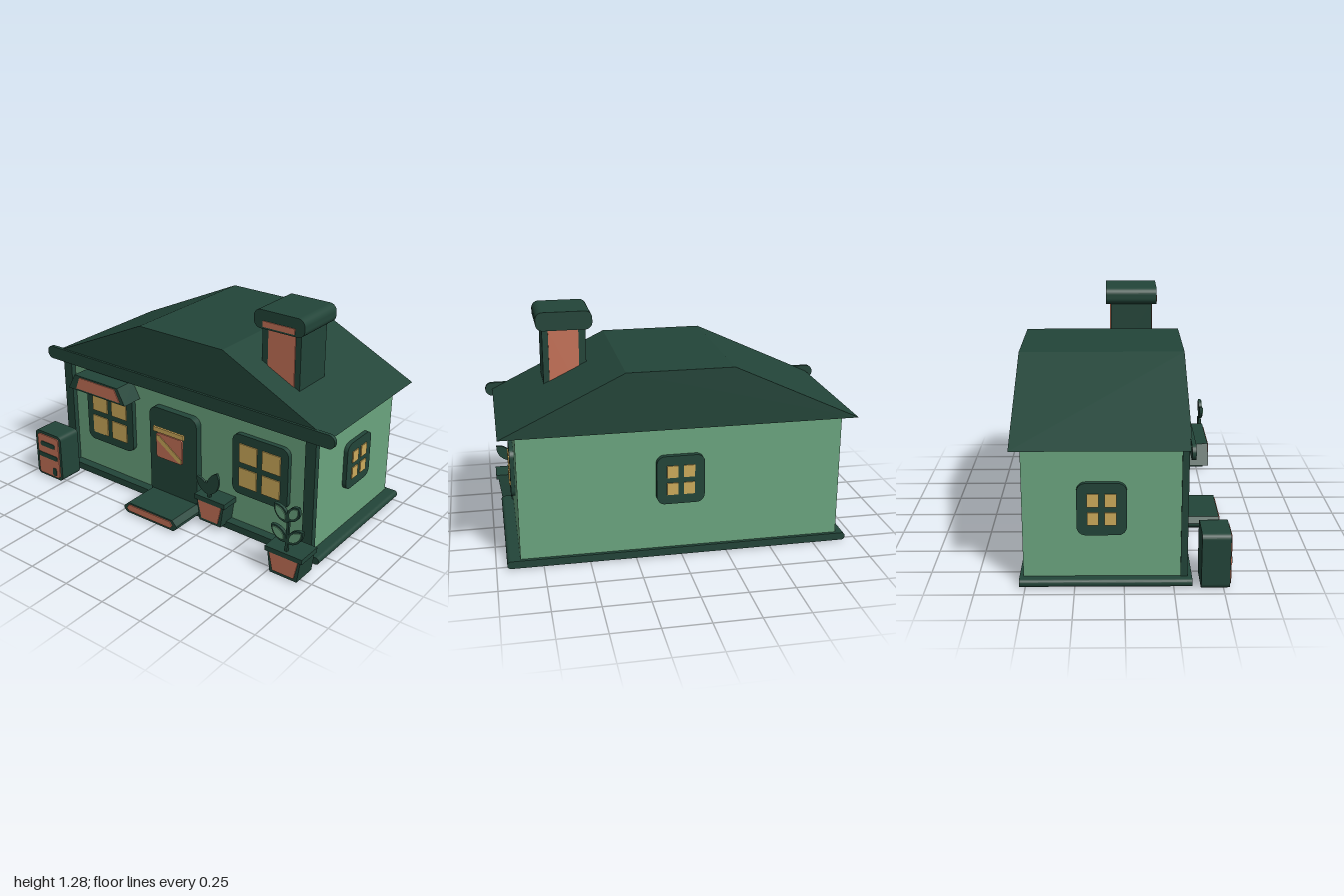
import * as THREE from 'three';

const mat = (name, color) => {
  const m = new THREE.MeshStandardMaterial({ color });
  m.name = name;
  return m;
};

// Rounded rectangle outline
function rrect(x0, y0, x1, y1, r) {
  const s = new THREE.Shape();
  s.moveTo(x0 + r, y0);
  s.lineTo(x1 - r, y0);
  s.absarc(x1 - r, y0 + r, r, -Math.PI / 2, 0);
  s.lineTo(x1, y1 - r);
  s.absarc(x1 - r, y1 - r, r, 0, Math.PI / 2);
  s.lineTo(x0 + r, y1);
  s.absarc(x0 + r, y1 - r, r, Math.PI / 2, Math.PI);
  s.lineTo(x0, y0 + r);
  s.absarc(x0 + r, y0 + r, r, Math.PI, Math.PI * 1.5);
  return s;
}
const poly = (...pts) => new THREE.Shape(pts.map(([x, y]) => new THREE.Vector2(x, y)));

// Leaf outline from a base point to a tip
function leafShape([x0, y0], [x1, y1], w) {
  const dx = x1 - x0, dy = y1 - y0, l = Math.hypot(dx, dy);
  const nx = -dy / l * w, ny = dx / l * w;
  const s = new THREE.Shape();
  s.moveTo(x0, y0);
  s.bezierCurveTo(x0 + dx * 0.2 - nx, y0 + dy * 0.2 - ny, x0 + dx * 0.75 - nx, y0 + dy * 0.75 - ny, x1, y1);
  s.bezierCurveTo(x0 + dx * 0.75 + nx, y0 + dy * 0.75 + ny, x0 + dx * 0.2 + nx, y0 + dy * 0.2 + ny, x0, y0);
  return s;
}

export function createModel() {
  const dark = mat('dark green', 0x234539);
  const wall = mat('light green', 0x6ca680);
  const clay = mat('terracotta', 0xc77359);
  const gold = mat('window yellow', 0xcfac5c);
  const house = new THREE.Group();
  house.name = 'house';

  // Extrude a front outline between two depths
  function slab(name, shape, z0, z1, material, parent = house) {
    const geo = new THREE.ExtrudeGeometry(shape, { depth: z1 - z0, bevelEnabled: false, curveSegments: 8 });
    geo.translate(0, 0, z0);
    const mesh = new THREE.Mesh(geo, material);
    mesh.name = name;
    parent.add(mesh);
    return mesh;
  }
  const box = (name, x0, y0, x1, y1, z0, z1, material, parent) =>
    slab(name, poly([x0, y0], [x1, y0], [x1, y1], [x0, y1]), z0, z1, material, parent);
  function group(name) {
    const g = new THREE.Group();
    g.name = name;
    house.add(g);
    return g;
  }

  // Walls, plinth and corner posts
  box('walls', -0.885, 0, 0.872, 0.745, -0.51, 0.29, wall);
  slab('plinth', rrect(-0.937, 0.003, 0.943, 0.045, 0.02), -0.53, 0.343, dark);
  for (const x of [-0.893, 0.82]) box('cornerPost', x, 0.03, x + 0.062, 0.73, 0.285, 0.32, dark);

  // Roof and front eave rail
  slab('roof', poly([-0.96, 0.74], [0.96, 0.74], [0.3, 1.06], [-0.27, 1.06]), -0.56, 0.33, dark);
  slab('eaveRail', rrect(-1, 0.7, 1, 0.777, 0.038), 0.322, 0.343, dark);

  // Chimney with inlaid front and back panels
  const chimney = group('chimney');
  box('chimneyStack', 0.445, 0.8, 0.683, 1.19, -0.066, 0.178, dark, chimney);
  box('frontPanel', 0.485, 0.82, 0.65, 1.178, 0.178, 0.183, clay, chimney);
  box('backPanel', 0.485, 0.82, 0.65, 1.178, -0.072, -0.066, clay, chimney);
  slab('chimneyCap', rrect(0.41, 1.178, 0.718, 1.28, 0.04), -0.097, 0.207, dark, chimney);
  box('capStripe', 0.467, 1.19, 0.662, 1.222, 0.207, 0.212, clay, chimney);

  // Windows: w and h outside, pane size p, gap g between panes
  function window4(name, w, h, p, q, g, r) {
    const win = group(name);
    slab('windowFrame', rrect(-w / 2, -h / 2, w / 2, h / 2, r), 0, 0.028, dark, win);
    for (const sx of [-1, 1]) for (const sy of [-1, 1]) {
      const cx = sx * (p + g) / 2, cy = sy * (q + g) / 2;
      box('windowPane', cx - p / 2, cy - q / 2, cx + p / 2, cy + q / 2, 0.028, 0.034, gold, win);
    }
    return win;
  }
  for (const x of [-0.536, 0.541]) {
    window4('frontWindow', 0.358, 0.362, 0.115, 0.112, 0.034, 0.045).position.set(x, 0.419, 0.29);
  }
  for (const [x, turn] of [[0.868, 1], [-0.882, -1]]) {
    const w = window4('sideWindow', 0.25, 0.276, 0.058, 0.067, 0.03, 0.045);
    w.position.set(x, 0.418, -0.112);
    w.rotation.y = turn * Math.PI / 2;
  }
  const back = window4('backWindow', 0.26, 0.272, 0.06, 0.067, 0.03, 0.045);
  back.position.set(0.01, 0.45, -0.517);
  back.rotation.y = Math.PI;

  // Awning over one front window
  const awning = group('awning');
  slab('awningBody', poly([-0.757, 0.592], [-0.318, 0.592], [-0.372, 0.688], [-0.703, 0.688]), 0.29, 0.423, dark, awning);
  slab('awningPanel', poly([-0.692, 0.605], [-0.355, 0.605], [-0.392, 0.678], [-0.663, 0.678]), 0.423, 0.428, clay, awning);

  // Door with a raised panel, diagonal stripe and bar
  const door = group('door');
  slab('doorLeaf', rrect(-0.212, 0.03, 0.126, 0.6, 0.05), 0.285, 0.332, dark, door);
  slab('doorPanel', rrect(-0.136, 0.312, 0.05, 0.465, 0.014), 0.357, 0.368, clay, door);
  slab('doorStripe', poly([-0.13, 0.425], [0.025, 0.322], [0.045, 0.322], [0.045, 0.343], [-0.112, 0.45], [-0.13, 0.45]),
    0.368, 0.372, gold, door);
  box('doorBar', -0.152, 0.474, 0.066, 0.502, 0.362, 0.375, gold, door);

  // Doorstep
  slab('doorstep', poly([-0.21, 0.005], [0.13, 0.005], [0.152, 0.025], [0.152, 0.04], [0.122, 0.07], [-0.2, 0.07],
    [-0.233, 0.04], [-0.233, 0.025]), 0.29, 0.55, dark);
  slab('doorstepPanel', poly([-0.195, 0.02], [0.11, 0.02], [0.125, 0.038], [0.108, 0.06], [-0.19, 0.06],
    [-0.208, 0.038]), 0.55, 0.556, clay);

  // Letter cabinet
  const cabinet = group('letterCabinet');
  slab('cabinetBody', rrect(-0.96, 0.005, -0.75, 0.301, 0.028), 0.385, 0.53, dark, cabinet);
  slab('cabinetFace', rrect(-0.938, 0.02, -0.767, 0.284, 0.018), 0.53, 0.537, clay, cabinet);
  for (const [x0, y0, x1, y1, r] of [
    [-0.912, 0.21, -0.795, 0.24, 0.014],
    [-0.936, 0.135, -0.777, 0.164, 0.01],
    [-0.822, 0.03, -0.793, 0.08, 0.008],
  ]) slab('cabinetSlot', rrect(x0, y0, x1, y1, r), 0.537, 0.541, dark, cabinet);

  // Plant pots: tapered body, rim and front panel
  function pot(name, cx, y0, y1, bottom, top, rim, rimH, z0, z1) {
    const g = group(name);
    slab('potBody', poly([cx - bottom, y0], [cx + bottom, y0], [cx + top, y1 - rimH], [cx - top, y1 - rimH]),
      z0, z1 - 0.006, dark, g);
    box('potRim', cx - rim, y1 - rimH, cx + rim, y1, z0, z1, dark, g);
    slab('potPanel', poly([cx - bottom + 0.018, y0 + 0.018], [cx + bottom - 0.018, y0 + 0.018],
      [cx + top - 0.012, y1 - rimH], [cx - top + 0.012, y1 - rimH]), z1 - 0.006, z1 - 0.001, clay, g);
    return g;
  }
  const small = pot('smallPlant', 0.265, 0.03, 0.187, 0.073, 0.092, 0.104, 0.03, 0.29, 0.4);
  const big = pot('tallPlant', 0.853, 0.008, 0.158, 0.083, 0.1, 0.113, 0.028, 0.403, 0.55);

  // Plain leaves of the small plant
  slab('stem', poly([0.242, 0.18], [0.258, 0.18], [0.258, 0.24], [0.242, 0.24]), 0.37, 0.384, dark, small);
  for (const [a, b, w] of [
    [[0.25, 0.205], [0.165, 0.295], 0.035],
    [[0.25, 0.205], [0.305, 0.35], 0.05],
    [[0.25, 0.2], [0.225, 0.28], 0.025],
  ]) slab('leaf', leafShape(a, b, w), 0.37, 0.384, dark, small);

  // Outlined leaves of the tall plant
  slab('stem', poly([0.848, 0.15], [0.864, 0.15], [0.872, 0.4], [0.86, 0.4]), 0.515, 0.53, dark, big);
  for (const [[bx, by], [tx, ty]] of [
    [[0.86, 0.215], [0.765, 0.29]],
    [[0.863, 0.33], [0.78, 0.42]],
    [[0.86, 0.21], [0.955, 0.305]],
    [[0.866, 0.345], [0.925, 0.435]],
  ]) {
    slab('leafRim', leafShape([bx, by], [tx, ty], 0.044), 0.515, 0.533, dark, big);
    const at = (t) => [bx + (tx - bx) * t, by + (ty - by) * t];
    slab('leafBlade', leafShape(at(0.17), at(0.9), 0.03), 0.533, 0.538, wall, big);
  }

  return house;
}
